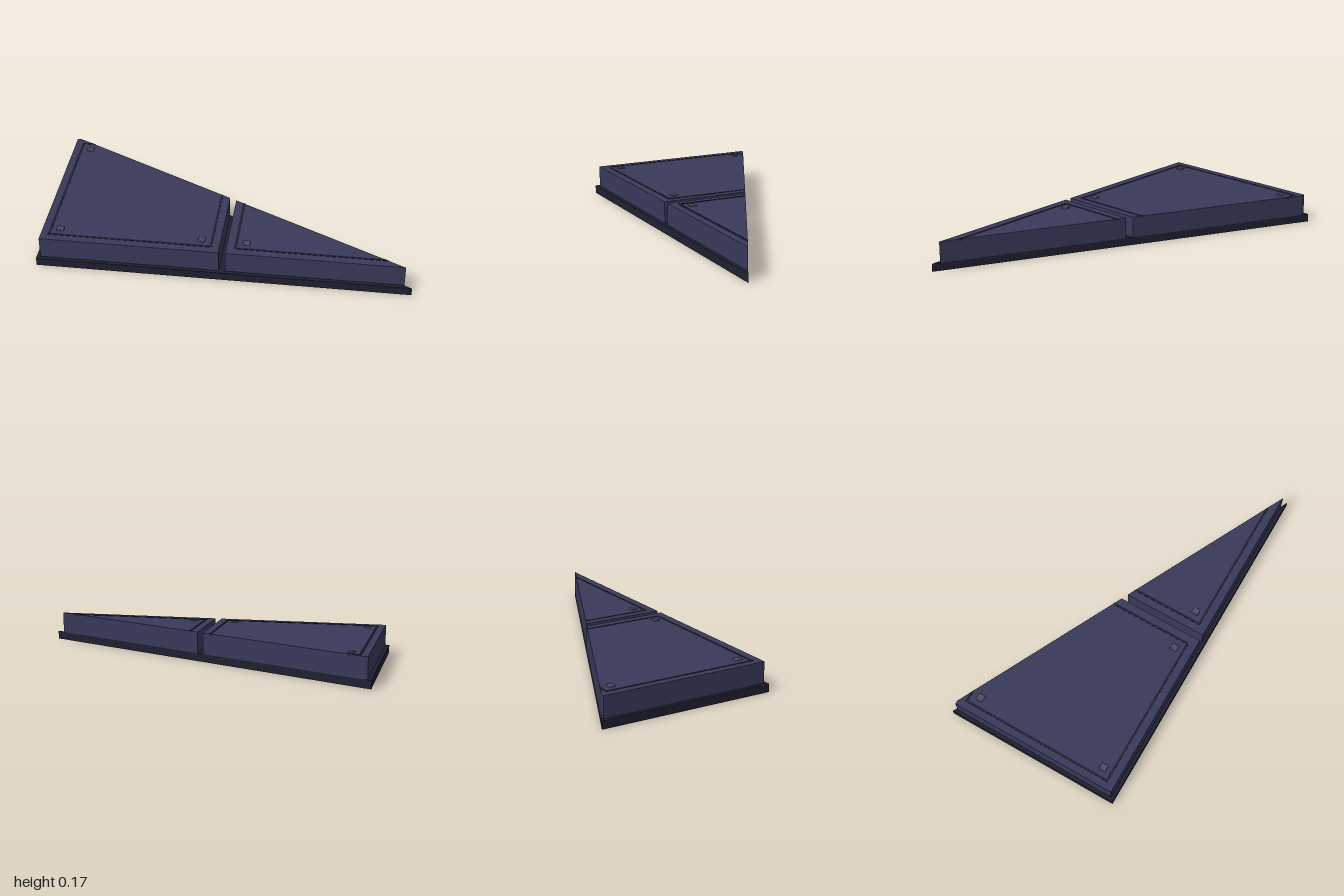
import * as THREE from 'three';
import { RoundedBoxGeometry } from 'three/addons/geometries/RoundedBoxGeometry.js';

const mat = (color) => new THREE.MeshStandardMaterial({ color });

// Vertical prism from a plan outline of [x, z] points
function prism(name, points, y0, y1, material) {
  const shape = new THREE.Shape(points.map(([x, z]) => new THREE.Vector2(x, -z)));
  const geo = new THREE.ExtrudeGeometry(shape, { depth: y1 - y0, bevelEnabled: false });
  geo.rotateX(-Math.PI / 2);
  geo.translate(0, y0, 0);
  const mesh = new THREE.Mesh(geo, material);
  mesh.name = name;
  return mesh;
}

export function createModel() {
  const group = new THREE.Group();
  group.name = 'triangularFloorTile';
  const dark = mat(0x1f2030);
  const panel = mat(0x383a5a);
  const metal = mat(0x4a4b60);
  const baseTop = 0.045, slabTop = 0.164;
  const gap = 0.018, rim = 0.48;
  const cut = (x) => [x, x / 2]; // point on the diagonal edge

  // Triangular base plate
  group.add(prism('basePlate', [[-1, -0.5], [-1, 0.5], [1, 0.5]], 0, baseTop, dark));

  // Two raised slabs, cut flush with the diagonal
  group.add(prism('largeSlab',
    [[-0.98, -rim], cut(-2 * rim), cut(-gap), [-gap, rim], [-0.98, rim]], baseTop, slabTop, panel));
  group.add(prism('smallSlab',
    [cut(gap), cut(2 * rim), [gap, rim]], baseTop, slabTop, panel));

  // Thin dark inlay lines near the slab borders
  const a = 0.942, b = 0.93, c = 0.059, d = 0.071, e = 0.437, f = 0.425;
  group.add(prism('largeInlay', [
    [-a, -0.443], cut(-0.886), cut(-0.862), [-b, -0.431], [-b, f],
    [-d, f], cut(-d), cut(-c), [-c, e], [-a, e],
  ], slabTop - 0.01, slabTop + 0.002, dark));
  group.add(prism('smallInlay',
    [cut(c), cut(d), [d, f], cut(2 * f), cut(2 * e), [c, e]],
    slabTop - 0.01, slabTop + 0.002, dark));

  // Corner studs
  for (const [x, z] of [[-0.883, -0.38], [-0.883, 0.38], [-0.12, 0.38], [0.12, 0.38]]) {
    const stud = new THREE.Mesh(new RoundedBoxGeometry(0.038, 0.014, 0.038, 2, 0.005), metal);
    stud.name = 'stud';
    stud.position.set(x, slabTop, z);
    group.add(stud);
  }
  return group;
}
